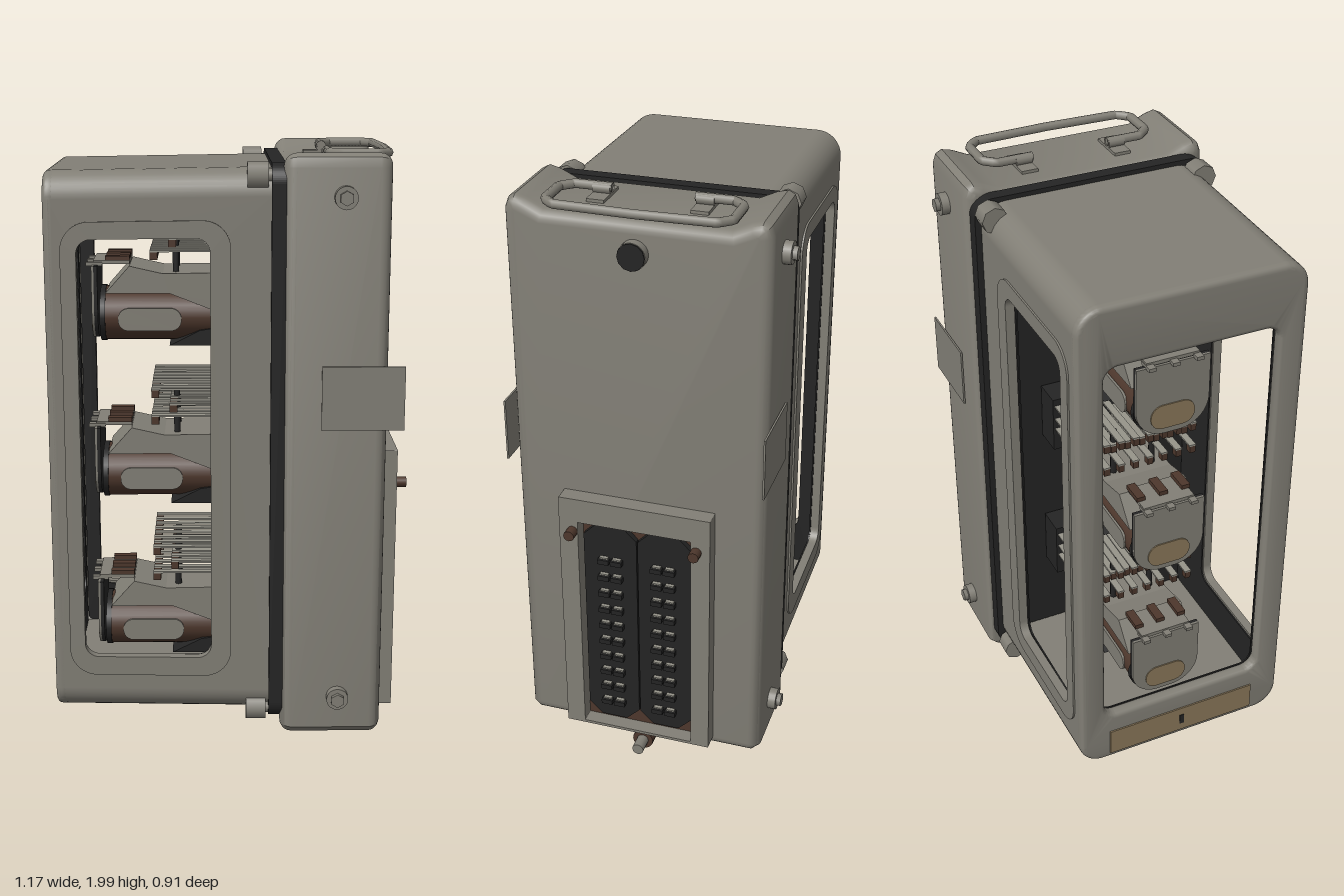
import * as THREE from 'three';
import { mergeGeometries, toCreasedNormals } from 'three/addons/utils/BufferGeometryUtils.js';

const mat = (name, color, side = THREE.FrontSide) =>
  Object.assign(new THREE.MeshStandardMaterial({ color, side }), { name });
const M = {
  grey: mat('housing grey', 0x827f76, THREE.DoubleSide),
  black: mat('rubber black', 0x242424),
  brown: mat('copper brown', 0x4d372c),
  tan: mat('label tan', 0x8b795b),
  silver: mat('contact silver', 0x96948a),
};

function add(parent, name, geo, material, x = 0, y = 0, z = 0) {
  const m = new THREE.Mesh(geo, material);
  m.name = name;
  m.position.set(x, y, z);
  parent.add(m);
  return m;
}
// box given by its limits
function slab(x0, x1, y0, y1, z0, z1) {
  return new THREE.BoxGeometry(x1 - x0, y1 - y0, z1 - z0)
    .translate((x0 + x1) / 2, (y0 + y1) / 2, (z0 + z1) / 2);
}
// cylinders along x and z
const rodX = (r, x0, x1, sides = 20, r0 = r) =>
  new THREE.CylinderGeometry(r, r0, x1 - x0, sides).rotateZ(-Math.PI / 2).translate((x0 + x1) / 2, 0, 0);
const rodZ = (r, len, sides = 20) => new THREE.CylinderGeometry(r, r, len, sides).rotateX(Math.PI / 2);

function roundRect(x0, x1, y0, y1, r, Type = THREE.Shape) {
  const s = new Type(), q = Math.PI / 2;
  s.moveTo(x0 + r, y0);
  s.absarc(x1 - r, y0 + r, r, -q, 0);
  s.absarc(x1 - r, y1 - r, r, 0, q);
  s.absarc(x0 + r, y1 - r, r, q, 2 * q);
  s.absarc(x0 + r, y0 + r, r, 2 * q, 3 * q);
  return s;
}
const polygon = pts => new THREE.Shape(pts.map(p => new THREE.Vector2(...p)));
const extrude = (shape, depth, bevel = 0) => new THREE.ExtrudeGeometry(shape, {
  depth, curveSegments: 8, bevelEnabled: bevel > 0, bevelSize: bevel, bevelThickness: bevel,
  bevelOffset: -bevel, bevelSegments: 5 });
// profile drawn in (-z, y), extruded along +x from x0
const extrudeX = (shape, depth, x0, bevel = 0) => extrude(shape, depth, bevel).rotateY(Math.PI / 2).translate(x0, 0, 0);
function framed(outer, ...hole) {
  outer.holes.push(roundRect(...hole, THREE.Path));
  return outer;
}

function buildCover(root) {
  const g = new THREE.Group(); g.name = 'windowCover';
  const X0 = -0.582, X1 = 0.125, Y0 = 0.145, Y1 = 1.945, Z = 0.38, r = 0.085, t = 0.025, b = 0.018;
  const win = [-0.48, -0.065, 0.345, 1.735, 0.045], endWin = [-0.29, 0.29, 0.345, 1.735, 0.045];
  const XE = X0 + b, ym = (Y0 + Y1) / 2;
  const parts = [];
  // front and back panels with raised window trim
  for (const s of [1, -1]) {
    const panel = framed(polygon([[XE, Y0 + r], [X1, Y0 + r], [X1, Y1 - r], [XE, Y1 - r]]), ...win);
    parts.push(extrude(panel, t).translate(0, 0, s > 0 ? Z - t : -Z));
    const trim = framed(roundRect(-0.53, 0, 0.28, 1.79, 0.09), ...win);
    parts.push(extrude(trim, 0.006).translate(0, 0, s > 0 ? Z : -Z - 0.006));
    // dark lining on the inside of the side walls
    const lining = framed(roundRect(-0.53, 0.12, 0.2, 1.89, 0.02), ...win);
    add(g, 'sideLining', extrude(lining, 0.005), M.black, 0, 0, s > 0 ? 0.345 : -0.35);
  }
  // windowed end face with a small rounded rim
  const end = framed(roundRect(-Z, Z, Y0, Y1, r), ...endWin);
  parts.push(toCreasedNormals(extrudeX(end, 0.01, XE, b), 0.6));
  // top, bottom and the four long rounded edges
  parts.push(slab(XE, X1, Y1 - t, Y1, -Z + r, Z - r), slab(XE, X1, Y0, Y0 + t, -Z + r, Z - r));
  [[1, 1], [0, 1], [0, 0], [1, 0]].forEach(([front, top], i) => {
    parts.push(new THREE.CylinderGeometry(r, r, X1 - XE, 8, 1, true, 0, Math.PI / 2)
      .rotateZ(Math.PI / 2).rotateX(-i * Math.PI / 2)
      .translate((XE + X1) / 2, top ? Y1 - r : Y0 + r, front ? Z - r : r - Z));
  });
  // slight taper toward the end face
  const geo = mergeGeometries(parts.map(p => {
    const q = p.index ? p.toNonIndexed() : p;
    q.clearGroups();
    return q;
  }));
  const p = geo.attributes.position;
  for (let i = 0; i < p.count; i++) {
    const f = 1 - 0.012 * (X1 - p.getX(i)) / (X1 - X0);
    p.setY(i, ym + (p.getY(i) - ym) * f);
    p.setZ(i, p.getZ(i) * f);
  }
  add(g, 'coverShell', geo, M.grey);
  const endLining = framed(roundRect(-0.34, 0.34, 0.2, 1.89, 0.02), ...endWin);
  add(g, 'endLining', extrudeX(endLining, 0.005, -0.536), M.black);
  add(g, 'ceilingLining', slab(-0.535, 0.12, 1.89, 1.9, -0.34, 0.34), M.black);
  add(g, 'coverFloor', slab(-0.535, 0.12, 0.19, 0.2, -0.345, 0.345), M.grey);
  add(g, 'namePlate', slab(-0.587, -0.58, 0.18, 0.28, -0.27, 0.27), M.tan);
  add(g, 'namePlateMark', slab(-0.589, -0.586, 0.21, 0.25, -0.008, 0.008), M.black);
  // corner clamp nuts
  for (const y of [0.16, 1.922]) for (const z of [-0.36, 0.355]) {
    add(g, 'clampNut', rodX(0.043, 0.05, 0.115, 8), M.grey, 0, y, z);
    add(g, 'clampScrew', rodX(0.02, 0.115, 0.2, 12), M.grey, 0, y, z);
  }
  root.add(g);
}

function buildBase(root) {
  const g = new THREE.Group(); g.name = 'baseHousing';
  add(g, 'gasket', extrudeX(roundRect(-0.4, 0.4, 0.13, 1.96, 0.06), 0.045, 0.125), M.black);
  // body with a shallow dip across the top for the handle
  const half = [[0.387, 0.085], [0.413, 0.11], [0.413, 1.95], [0.402, 1.98], [0.38, 1.992], [0.345, 1.983], [0.29, 1.957]];
  const body = polygon([...half, ...half.map(([a, b]) => [-a, b]).reverse()]);
  add(g, 'baseBody', toCreasedNormals(extrudeX(body, 0.257, 0.2, 0.038), 0.6), M.grey);
  // side bosses and thin side tabs
  for (const s of [1, -1]) {
    for (const y of [0.22, 1.86]) {
      add(g, 'sideBoss', rodZ(0.036, 0.03, 20), M.grey, 0.35, y, s * 0.425);
      add(g, 'sideBolt', rodZ(0.023, 0.05, 6), M.grey, 0.35, y, s * 0.43);
    }
    add(g, 'sideTab', slab(0.285, 0.547, 1.13, 1.335, -0.003, 0.003), M.grey, 0, 0, s * 0.419);
  }
  // round plug on the connector face
  add(g, 'plugCollar', rodX(0.044, 0.49, 0.525, 20), M.grey, 0, 1.86, 0);
  add(g, 'plugCap', rodX(0.043, 0.515, 0.53, 12), M.black, 0, 1.86, 0);
  // carrying handle with two hinge brackets
  const path = new THREE.CurvePath();
  const pts = [[0.31, -0.13], [0.31, -0.25], [0.345, -0.288], [0.46, -0.288], [0.495, -0.25],
    [0.503, 0], [0.495, 0.25], [0.46, 0.288], [0.345, 0.288], [0.31, 0.25], [0.31, 0.13]]
    .map(([x, z]) => new THREE.Vector3(x, 1.984, z));
  for (let i = 1; i < pts.length; i++) path.add(new THREE.LineCurve3(pts[i - 1], pts[i]));
  add(g, 'handle', new THREE.TubeGeometry(path, 100, 0.015, 8), M.grey);
  for (const z of [-0.162, 0.162]) {
    add(g, 'handleBracket', slab(0.25, 0.38, 1.95, 1.967, -0.028, 0.028), M.grey, 0, 0, z);
    add(g, 'handleLoop', rodZ(0.018, 0.056, 12), M.grey, 0.31, 1.98, z);
  }
  root.add(g);
}

function buildConnector(root) {
  const g = new THREE.Group(); g.name = 'connector';
  const frame = framed(roundRect(-0.253, 0.253, 0.12, 1.02, 0.003), -0.19, 0.19, 0.13, 0.935, 0.003);
  add(g, 'connectorFrame', extrudeX(frame, 0.06, 0.49), M.grey);
  add(g, 'connectorPlate', slab(0.49, 0.5, 0.13, 0.935, -0.19, 0.19), M.brown);
  // two long blocks with rows of contact blades
  const c = 0.045, w = 0.09, y0 = 0.15, y1 = 0.922;
  const block = polygon([[c - w, y0], [w - c, y0], [w, y0 + c], [w, y1 - c], [w - c, y1], [c - w, y1], [-w, y1 - c], [-w, y0 + c]]);
  for (const s of [1, -1]) {
    add(g, 'contactBlock', extrudeX(block, 0.02, 0.5), M.black, 0, 0, s * 0.092);
    for (let row = 0; row < 10; row++) for (const dz of [-0.022, 0.022]) {
      const y = 0.23 + row * 0.0635, z = s * 0.09 + dz;
      add(g, 'contactHolder', slab(0.515, 0.54, y - 0.02, y - 0.003, -0.019, 0.019), M.black, 0, 0, z);
      add(g, 'contactBlade', slab(0.515, 0.532, y - 0.003, y + 0.002, -0.014, 0.014), M.silver, 0, 0, z);
    }
    add(g, 'guidePin', rodX(0.018, 0.5, 0.585, 12), M.brown, 0, 0.9, s * 0.208);
  }
  // jack screw under the base
  const j = new THREE.Group(); j.name = 'jackScrew'; j.position.y = 0.046;
  add(j, 'tip', rodX(0.036, 0.02, 0.08, 16, 0.018), M.brown);
  add(j, 'tipBody', rodX(0.036, 0.08, 0.215, 16), M.brown);
  add(j, 'rod', rodX(0.02, 0.21, 0.55, 12), M.grey);
  add(j, 'collar', rodX(0.036, 0.41, 0.495, 16), M.brown);
  add(j, 'hanger', new THREE.TorusGeometry(0.026, 0.008, 8, 20).rotateY(Math.PI / 2), M.grey, 0.32);
  g.add(j);
  root.add(g);
}

// one relay: coil, armature, end shield and contact springs
function buildRelay() {
  const g = new THREE.Group(); g.name = 'relay';
  add(g, 'coil', rodX(0.09, -0.42, 0.12, 28).scale(1, 1, 1.3), M.brown, 0, 0.093, 0);
  add(g, 'coilFlange', rodX(0.093, -0.43, -0.412, 28).scale(1, 1, 1.32), M.black, 0, 0.093, 0);
  const yoke = polygon([[-0.2, 0], [0.12, 0], [0.12, 0.085], [-0.1, 0.05]]);
  add(g, 'yoke', extrude(yoke, 0.23), M.black, 0, 0, -0.115);
  for (const s of [1, -1])
    add(g, 'coilLabel', extrude(roundRect(-0.37, -0.16, 0.05, 0.125, 0.036), 0.008), M.grey, 0, 0, s > 0 ? 0.113 : -0.121);
  const arm = polygon([[-0.41, 0.175], [-0.33, 0.265], [-0.22, 0.24], [0.12, 0.245], [0.12, 0.12], [-0.06, 0.12], [-0.2, 0.175]]);
  add(g, 'armature', extrude(arm, 0.24), M.grey, 0, 0, -0.12);
  // end shield with rounded lower corners, backed in black
  const shield = polygon([[0.125, 0.265], [-0.125, 0.265], [-0.125, 0.14]]);
  shield.absarc(-0.025, 0.115, 0.1, Math.PI, 1.5 * Math.PI);
  shield.absarc(0.025, 0.115, 0.1, 1.5 * Math.PI, 2 * Math.PI);
  add(g, 'endShield', extrudeX(shield, 0.008, -0.455), M.grey);
  add(g, 'shieldBack', extrudeX(shield, 0.012, -0.447), M.black);
  add(g, 'shieldLabel', extrudeX(roundRect(-0.075, 0.075, 0.035, 0.12, 0.04), 0.004, -0.459), M.tan);
  // return springs and adjusting screws above the armature
  add(g, 'returnSpring', slab(-0.45, -0.33, 0.268, 0.28, -0.09, 0.09), M.grey);
  for (const z of [-0.08, 0, 0.08]) {
    add(g, 'springHook', slab(-0.475, -0.42, 0.262, 0.274, -0.012, 0.012), M.grey, 0, 0, z);
    add(g, 'hookScrew', slab(-0.41, -0.33, 0.28, 0.295, -0.015, 0.015), M.brown, 0, 0, z);
  }
  // contact stack
  add(g, 'springBlock', slab(0.02, 0.12, 0.24, 0.44, -0.2, 0.2), M.black);
  for (let i = 0; i < 8; i++) {
    const z = -0.182 + i * 0.052;
    for (const [x, y] of [[-0.26, 0.32], [-0.2, 0.36], [-0.26, 0.41]]) {
      add(g, 'contactSpring', slab(x, 0.03, y, y + 0.006, -0.012, 0.012), M.silver, 0, 0, z);
      add(g, 'contactPoint', slab(x, x + 0.025, y - 0.025, y, -0.01, 0.01), M.brown, 0, 0, z);
    }
  }
  for (const z of [-0.07, 0.07])
    add(g, 'liftPost', new THREE.CylinderGeometry(0.011, 0.011, 0.17, 10), M.black, -0.178, 0.325, z);
  return g;
}

export function createModel() {
  const root = new THREE.Group();
  root.name = 'relayCase';
  buildCover(root);
  buildBase(root);
  buildConnector(root);
  for (let i = 0; i < 3; i++) {
    const relay = buildRelay();
    relay.position.y = 0.255 + i * 0.545;
    root.add(relay);
  }
  return root;
}
